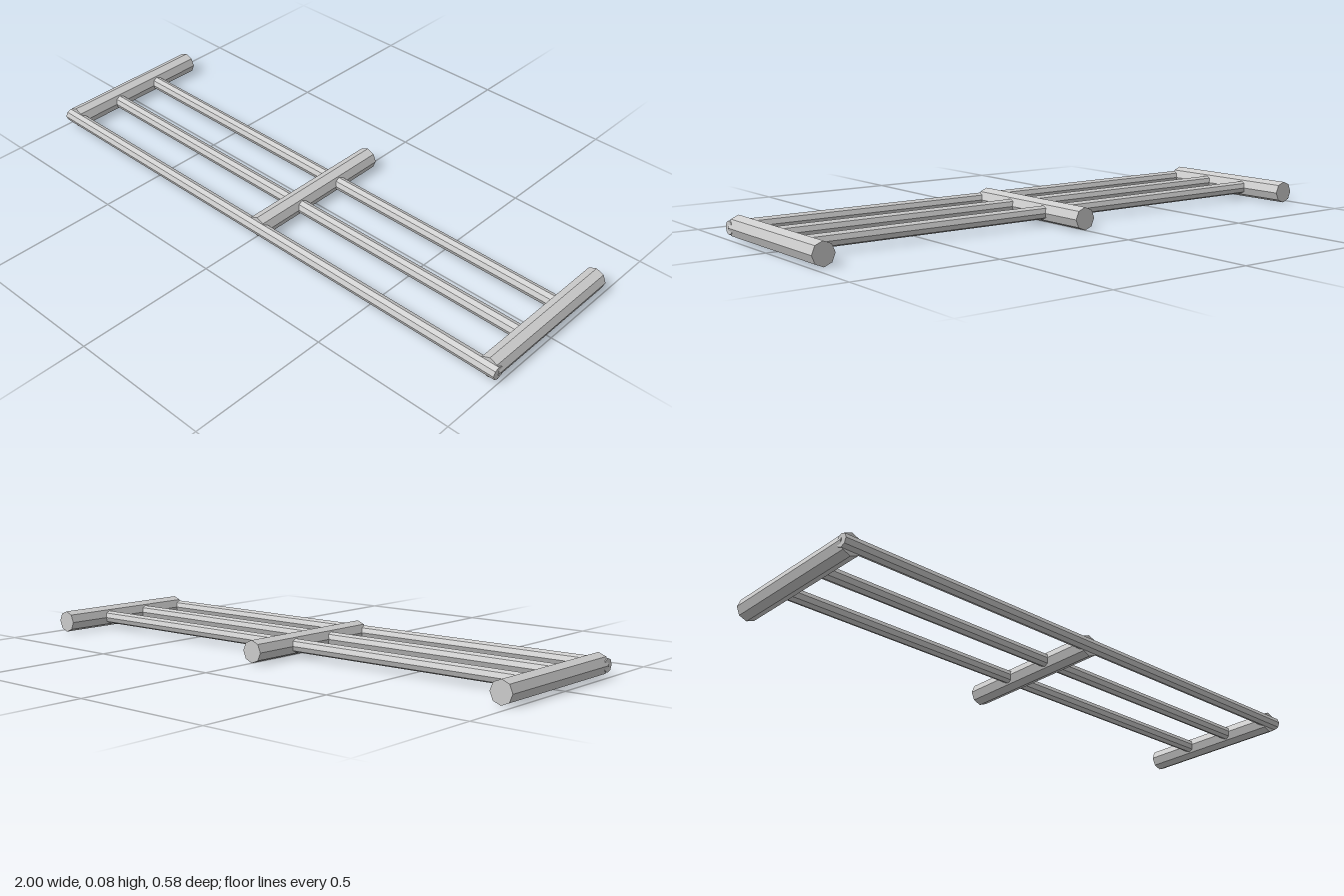
import * as THREE from 'three';

export function createModel() {
  const group = new THREE.Group();
  const material = new THREE.MeshStandardMaterial({ color: 0xcccccc, flatShading: true });
  const midY = 0.0385;

  // Eight-sided bar lying along x or z, with corners straight up and sideways
  function bar(name, radius, length, axis, x, z) {
    const geometry = new THREE.CylinderGeometry(radius, radius, length, 8);
    if (axis === 'x') geometry.rotateZ(Math.PI / 2);
    else geometry.rotateX(Math.PI / 2);
    const mesh = new THREE.Mesh(geometry, material);
    mesh.name = name;
    mesh.position.set(x, midY, z);
    group.add(mesh);
  }

  // Three thick posts running front to back
  const posts = { rightPost: -0.9615, middlePost: 0, leftPost: 0.9615 };
  for (const [name, x] of Object.entries(posts)) bar(name, 0.0385, 0.554, 'z', x, -0.0115);

  // Thin rails: the front one spans the post ends, the others stop inside the posts
  bar('frontRail', 0.0232, 1.992, 'x', 0, 0.2655);
  bar('middleRail', 0.0232, 1.92, 'x', 0, 0.081);
  bar('backRail', 0.0232, 1.92, 'x', 0, -0.104);

  return group;
}
